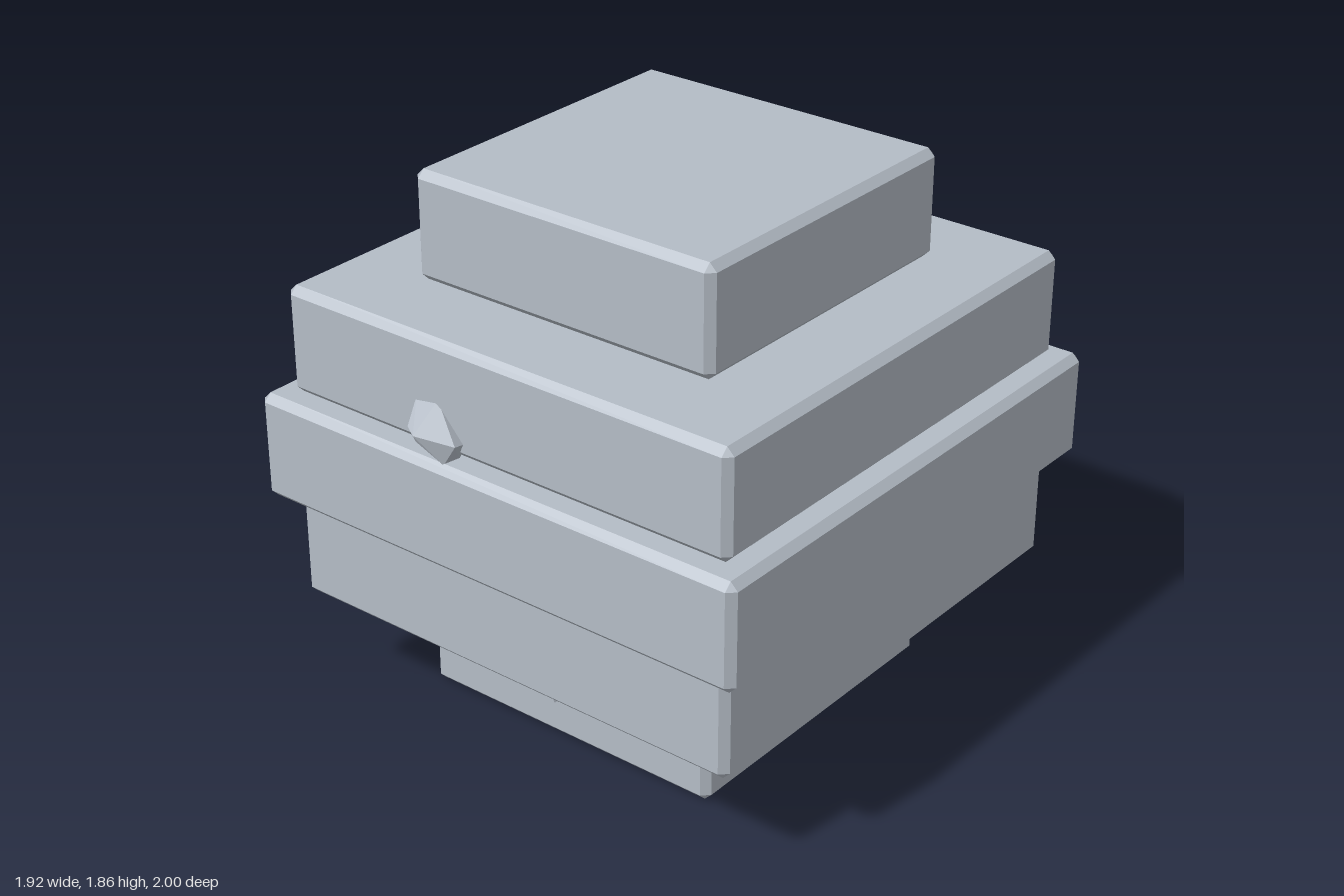
import * as THREE from 'three';
import { ConvexGeometry } from 'three/addons/geometries/ConvexGeometry.js';

const CX = 0.0125, CZ = 0.05; // shared axis of the stacked slabs

// Box with every edge cut at 45 degrees
function chamferBox(w, h, d, c) {
  const pts = [];
  for (const sx of [-1, 1]) for (const sy of [-1, 1]) for (const sz of [-1, 1]) {
    const x = w / 2, y = h / 2, z = d / 2;
    pts.push(
      new THREE.Vector3(sx * x, sy * (y - c), sz * (z - c)),
      new THREE.Vector3(sx * (x - c), sy * y, sz * (z - c)),
      new THREE.Vector3(sx * (x - c), sy * (y - c), sz * z));
  }
  return new ConvexGeometry(pts);
}

export function createModel() {
  const group = new THREE.Group();
  group.name = 'steppedBlock';
  const stone = new THREE.MeshStandardMaterial({ color: 0xb4bcc6 });
  stone.name = 'paleGrey';

  const add = (name, geometry, x = 0, y = 0, z = 0) => {
    const mesh = new THREE.Mesh(geometry, stone);
    mesh.name = name;
    mesh.position.set(x, y, z);
    group.add(mesh);
    return mesh;
  };

  // Five stacked slabs, widest in the middle
  const step = 0.372;
  [1.164, 1.745, 1.895, 1.745, 1.164].forEach((w, i) =>
    add('slab' + (i + 1), chamferBox(w, step, w, 0.026), CX, step * (i + 0.5), CZ));

  // Two slanted pegs under the second slab
  for (const s of [-1, 1]) {
    const name = s > 0 ? 'leftPeg' : 'rightPeg';
    const peg = add(name, new THREE.BoxGeometry(0.05, 0.18, 0.048), CX + s * 0.707, 0.334, 0.083);
    peg.rotation.x = -0.35;
  }

  // Chipped corners poking out of the sides
  const chip = (name, pts) =>
    add(name, new ConvexGeometry(pts.map(p => new THREE.Vector3(...p))));

  chip('leftChip', [
    [0.87, 0.665, -0.16], [0.87, 0.658, -0.2], [0.95, 0.575, -0.375], [0.96, 0.56, -0.335],
    [0.95, 0.54, -0.362], [0.905, 0.435, -0.29], [0.895, 0.44, -0.262],
    [0.86, 0.46, -0.25], [0.86, 0.575, -0.35], [0.86, 0.46, -0.28]]);

  chip('backChip', [
    [0.045, 0.97, -0.89], [-0.16, 0.9, -0.89], [-0.05, 0.89, -1], [-0.06, 0.875, -0.998],
    [-0.035, 0.765, -0.95], [-0.055, 0.768, -0.947], [-0.03, 0.76, -0.89], [-0.08, 0.765, -0.89]]);

  chip('rightChip', [
    [-0.85, 1.285, -0.19], [-0.85, 1.27, -0.28], [-0.965, 1.21, -0.19], [-0.955, 1.188, -0.19],
    [-0.935, 1.215, -0.24], [-0.9, 1.18, -0.08], [-0.91, 1.11, -0.12],
    [-0.85, 1.17, -0.085], [-0.85, 1.11, -0.11], [-0.87, 1.11, -0.2]]);

  return group;
}
